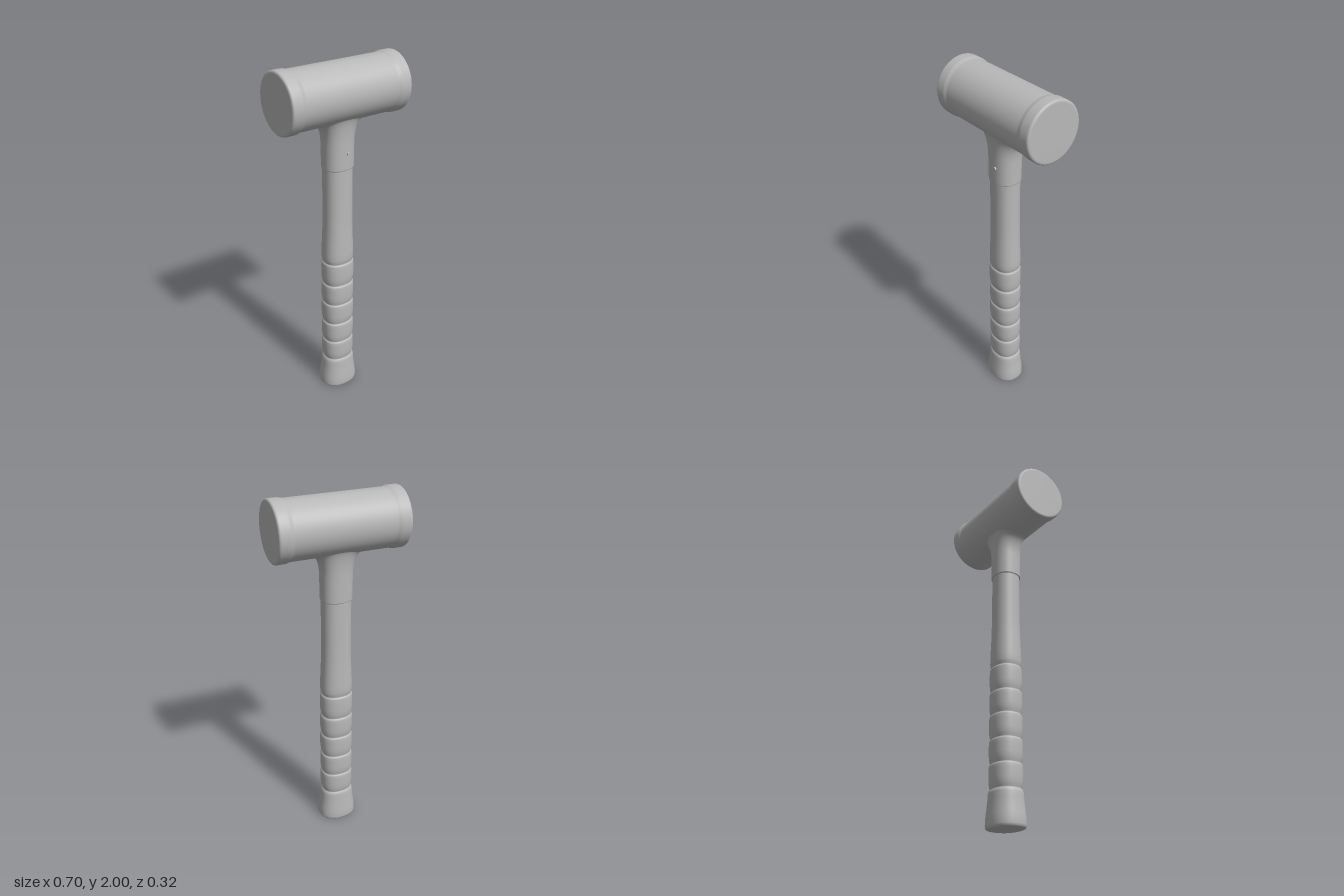
import * as THREE from 'three';

const SEG = 64;
const HEAD_Y = 1.84, HEAD_R = 0.154;

// Point on a slightly squared ellipse
function oval(a, rx, rz, n = 2.35) {
  const c = Math.cos(a), s = Math.sin(a);
  return [
    Math.sign(c) * Math.abs(c) ** (2 / n) * rx,
    Math.sign(s) * Math.abs(s) ** (2 / n) * rz,
  ];
}

// Skin a stack of rings (bottom to top); ring(i, angle) gives [x, y, z]
function loft(count, ring) {
  const pos = [], idx = [];
  for (let i = 0; i < count; i++) {
    for (let j = 0; j < SEG; j++) {
      pos.push(...ring(i, (j / SEG) * Math.PI * 2));
      if (i === count - 1) continue;
      const k = (j + 1) % SEG;
      const a = i * SEG + j, b = i * SEG + k, c = a + SEG, d = b + SEG;
      idx.push(a, c, b, b, c, d);
    }
  }
  const g = new THREE.BufferGeometry();
  g.setAttribute('position', new THREE.Float32BufferAttribute(pos, 3));
  g.setIndex(idx);
  g.computeVertexNormals();
  return g;
}

// Loft of oval rings given as [y, rx, rz]
function ovalLoft(rings) {
  return loft(rings.length, (i, a) => {
    const [y, rx, rz] = rings[i];
    const [x, z] = oval(a, rx, rz);
    return [x, y, z];
  });
}

export function createModel() {
  const model = new THREE.Group();
  const grey = new THREE.MeshStandardMaterial({ color: 0xb8b8b8 });
  grey.name = 'grey';
  const add = (name, geometry) => {
    const m = new THREE.Mesh(geometry, grey);
    m.name = name;
    model.add(m);
    return m;
  };

  // Head: barrel with a raised, rounded band at each end
  const half = [[0, 0.352], [0.144, 0.352], [0.148, 0.3515]];
  for (let i = 1; i <= 5; i++) {
    const t = (i / 5) * Math.PI / 2;
    half.push([0.148 + 0.012 * Math.sin(t), 0.34 + 0.0115 * Math.cos(t)]);
  }
  half.push([0.16, 0.336], [0.16, 0.298], [0.1595, 0.291], [0.158, 0.285],
    [0.1555, 0.277], [0.1543, 0.272], [HEAD_R, 0.266], [HEAD_R, 0.255]);
  const profile = [
    ...half.map(([r, x]) => new THREE.Vector2(r, -x)),
    ...half.slice().reverse().map(([r, x]) => new THREE.Vector2(r, x)),
  ];
  const head = add('head', new THREE.LatheGeometry(profile, 96));
  head.rotation.z = -Math.PI / 2;
  head.position.y = HEAD_Y;

  // Neck: oval collar that flares into a saddle against the barrel
  const collar = [[1.436, 0.07, 0.062], [1.436, 0.0815, 0.0745], [1.438, 0.084, 0.077],
    [1.442, 0.085, 0.078], [1.5, 0.085, 0.078], [1.57, 0.086, 0.079]];
  const FLARE = 12;
  add('neck', loft(collar.length + FLARE, (i, a) => {
    if (i < collar.length) {
      const [x, z] = oval(a, collar[i][1], collar[i][2]);
      return [x, collar[i][0], z];
    }
    const t = ((i - collar.length + 1) / FLARE) * Math.PI / 2;
    const grow = 1 - Math.cos(t);
    const [x, z] = oval(a, 0.086 + 0.05 * grow, 0.079 + 0.025 * grow);
    const endZ = oval(a, 0.136, 0.104)[1];
    const top = HEAD_Y + 0.002 - Math.sqrt(HEAD_R ** 2 - endZ ** 2);
    return [x, 1.57 + (top - 1.57) * Math.sin(t), z];
  }));

  // Small round pin on the front of the collar
  const pin = add('pin', new THREE.CylinderGeometry(0.008, 0.01, 0.01, 16));
  pin.rotation.x = Math.PI / 2;
  pin.position.set(0.015, 1.53, 0.079);

  // Handle: flared foot, ribbed grip, then a plain shaft
  const rings = [[0, 0.1, 0.084], [0.002, 0.105, 0.089], [0.008, 0.1095, 0.0925],
    [0.018, 0.111, 0.094], [0.045, 0.1105, 0.0935], [0.075, 0.107, 0.091],
    [0.11, 0.102, 0.0875], [0.15, 0.098, 0.084], [0.178, 0.096, 0.0825]];
  const grooves = [0.196, 0.327, 0.459, 0.593, 0.724, 0.865];
  grooves.forEach((y, i) => {
    const rx = 0.0935 - 0.0005 * i, rz = 0.081 - 0.0003 * i;
    const ring = (dy, inset) => rings.push([y + dy, rx - inset, rz - inset]);
    // Rounded ledge below the groove, gentle swell above it
    ring(-0.012, 0.0005);
    ring(-0.006, 0.002);
    ring(-0.002, 0.0045);
    ring(0, 0.0075);
    ring(0.004, 0.0075);
    ring(0.014, 0.0045);
    ring(0.03, 0.0018);
    if (i < grooves.length - 1) {
      ring(0.055, 0);
      ring(0.1, 0);
    }
  });
  rings.push([0.93, 0.0885, 0.0775], [0.98, 0.0865, 0.076], [1.04, 0.0835, 0.074],
    [1.1, 0.0815, 0.0725], [1.18, 0.0805, 0.072], [1.3, 0.08, 0.0715], [1.5, 0.08, 0.0715]);
  add('handle', ovalLoft(rings));

  // Flat underside of the handle
  const outline = [];
  for (let j = 0; j < SEG; j++) {
    outline.push(new THREE.Vector2(...oval((j / SEG) * Math.PI * 2, 0.1, 0.084)));
  }
  const foot = add('handleBase', new THREE.ShapeGeometry(new THREE.Shape(outline)));
  foot.rotation.x = Math.PI / 2;

  return model;
}
